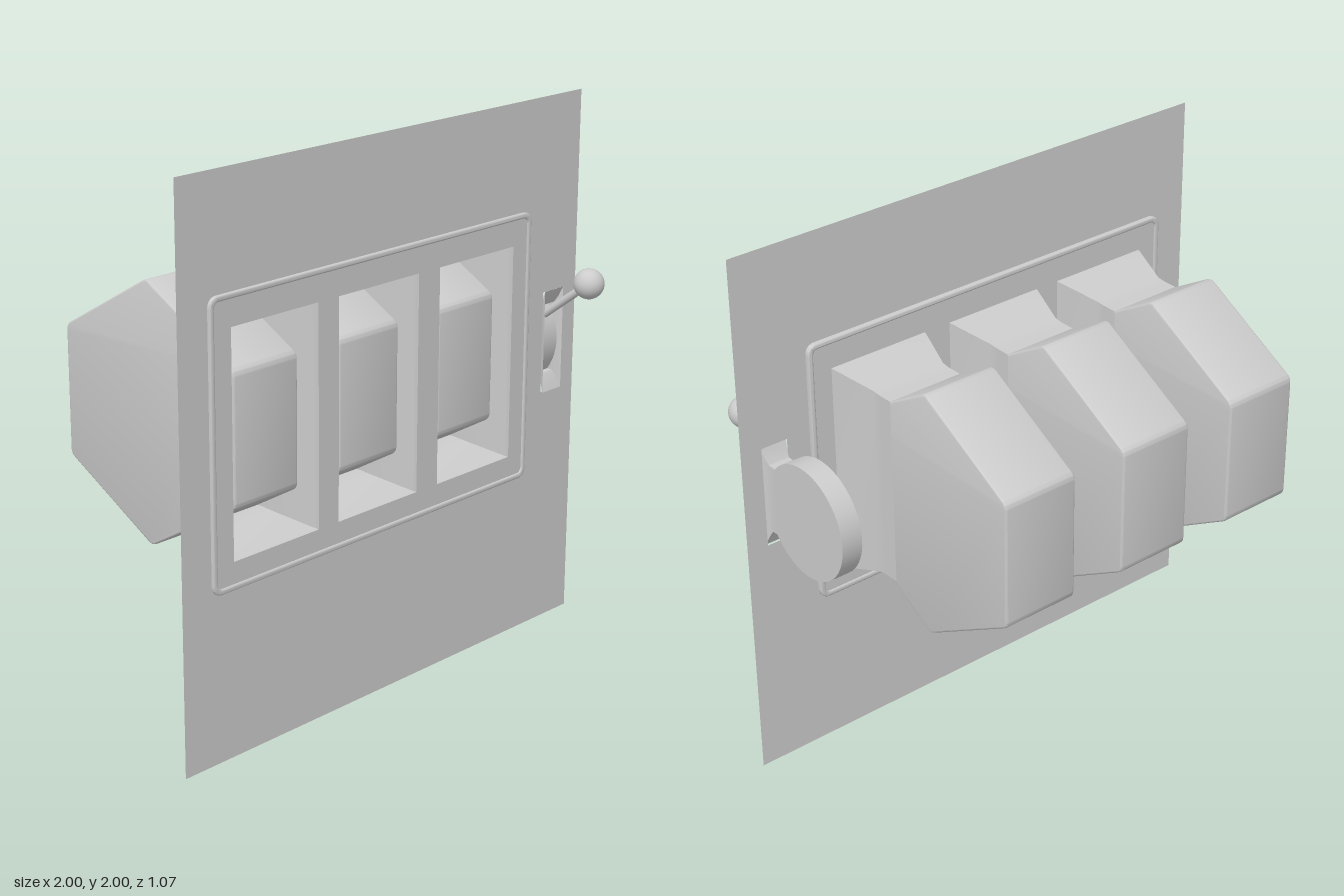
import * as THREE from 'three';
import { toCreasedNormals } from 'three/addons/utils/BufferGeometryUtils.js';

const solid = new THREE.MeshStandardMaterial({ color: 0xcccccc });
const sheet = new THREE.MeshStandardMaterial({ color: 0xcccccc, side: THREE.DoubleSide });

function add(parent, name, geometry, material = solid) {
  const mesh = new THREE.Mesh(geometry, material);
  mesh.name = name;
  parent.add(mesh);
  return mesh;
}

// Closed outline whose corners are rounded by distance r
function outline(corners, r, Type = THREE.Shape) {
  const shape = new Type();
  const pts = corners.map(([x, y]) => new THREE.Vector2(x, y));
  pts.forEach((p, i) => {
    const prev = pts[(i + pts.length - 1) % pts.length];
    const next = pts[(i + 1) % pts.length];
    const a = p.clone().add(prev.clone().sub(p).setLength(r));
    const b = p.clone().add(next.clone().sub(p).setLength(r));
    if (i === 0) shape.moveTo(a.x, a.y); else shape.lineTo(a.x, a.y);
    if (r > 0.001) shape.quadraticCurveTo(p.x, p.y, b.x, b.y);
  });
  shape.closePath();
  return shape;
}

const rect = (x0, x1, y0, y1, r = 0.0001, Type = THREE.Shape) =>
  outline([[x0, y0], [x1, y0], [x1, y1], [x0, y1]], r, Type);

// Rectangular tube through sections [z, halfWidth, halfHeight]
function rectLoft(sections) {
  const pos = [];
  const ring = ([z, w, h]) => [[-w, -h, z], [w, -h, z], [w, h, z], [-w, h, z]];
  for (let s = 0; s < sections.length - 1; s++) {
    const a = ring(sections[s]), b = ring(sections[s + 1]);
    for (let i = 0; i < 4; i++) {
      const j = (i + 1) % 4;
      pos.push(...a[i], ...b[i], ...b[j], ...a[i], ...b[j], ...a[j]);
    }
  }
  const g = new THREE.BufferGeometry();
  g.setAttribute('position', new THREE.Float32BufferAttribute(pos, 3));
  return toCreasedNormals(g, 0.5);
}

export function createModel() {
  const model = new THREE.Group();
  const midY = 1.085;
  const reelX = [-0.575, -0.08, 0.427];
  const leverX = 0.865;

  // Thin panel, cut out for the bezel and the lever slot
  const panel = rect(-1, 1, 0, 2);
  panel.holes.push(
    rect(-0.86, 0.71, 0.61, 1.59, 0.03, THREE.Path),
    rect(leverX - 0.052, leverX + 0.052, 0.9, 1.28, 0.0001, THREE.Path));
  add(model, 'frontPanel', new THREE.ShapeGeometry(panel), sheet).position.z = 0.318;

  // Bezel: raised rim around a plate with three windows
  const bezel = new THREE.Group();
  bezel.name = 'bezel';
  model.add(bezel);
  const rim = rect(-0.865, 0.715, 0.605, 1.595, 0.035);
  rim.holes.push(rect(-0.855, 0.705, 0.615, 1.585, 0.03, THREE.Path));
  const bevel = { bevelThickness: 0.005, bevelSize: 0.005, bevelSegments: 3 };
  add(bezel, 'bezelRim', toCreasedNormals(
    new THREE.ExtrudeGeometry(rim, { depth: 0.02, ...bevel }), 0.7)).position.z = 0.305;
  const plate = rect(-0.857, 0.707, 0.613, 1.587, 0.03);
  for (const x of reelX)
    plate.holes.push(rect(x - 0.199, x + 0.199, 0.697, 1.487, 0.0001, THREE.Path));
  add(bezel, 'bezelPlate', new THREE.ExtrudeGeometry(plate,
    { depth: 0.018, bevelEnabled: false })).position.z = 0.306;

  // Six-sided reels with softened edges, each behind a tapered window surround
  const hex = outline(Array.from({ length: 6 }, (_, i) => {
    const a = Math.PI / 2 + i * Math.PI / 3;
    return [0.468 * Math.cos(a), 0.468 * Math.sin(a)];
  }), 0.02);
  const b = 0.007;
  const reelGeo = new THREE.ExtrudeGeometry(hex, {
    depth: 0.294 - 2 * b, bevelThickness: b, bevelSize: b, bevelOffset: -b,
    bevelSegments: 3, curveSegments: 5 });
  reelGeo.translate(0, 0, -0.147 + b).rotateY(Math.PI / 2);
  const reelMesh = toCreasedNormals(reelGeo, 0.7);
  const funnel = rectLoft([
    [0.324, 0.2, 0.395], [0.3, 0.198, 0.394], [0.145, 0.149, 0.358],
    [0.11, 0.148, 0.354], [0.055, 0.148, 0.354]]);
  for (const x of reelX) {
    add(model, 'reel', reelMesh).position.set(x, midY - 0.002, -0.127);
    add(model, 'windowSurround', funnel, sheet).position.set(x, midY + 0.007, 0);
  }

  // Lever: flared slot, pivot disc, rod and ball knob
  const lever = new THREE.Group();
  lever.name = 'lever';
  lever.position.x = leverX;
  model.add(lever);
  add(lever, 'leverSlot', rectLoft([
    [0.328, 0.053, 0.192], [0.312, 0.046, 0.155], [0.297, 0.041, 0.131],
    [0.26, 0.041, 0.129]]), sheet).position.y = 1.092;
  const disc = new THREE.CylinderGeometry(0.208, 0.208, 0.08, 64);
  disc.rotateZ(Math.PI / 2);
  add(lever, 'leverDisc', disc).position.set(0, midY, 0.107);
  const knob = new THREE.Vector3(0, 1.333, 0.483);
  const rodPath = new THREE.LineCurve3(new THREE.Vector3(0, 1.17, 0.27), knob);
  add(lever, 'leverRod', new THREE.TubeGeometry(rodPath, 1, 0.015, 16));
  add(lever, 'leverKnob', new THREE.SphereGeometry(0.056, 32, 20)).position.copy(knob);

  return model;
}
